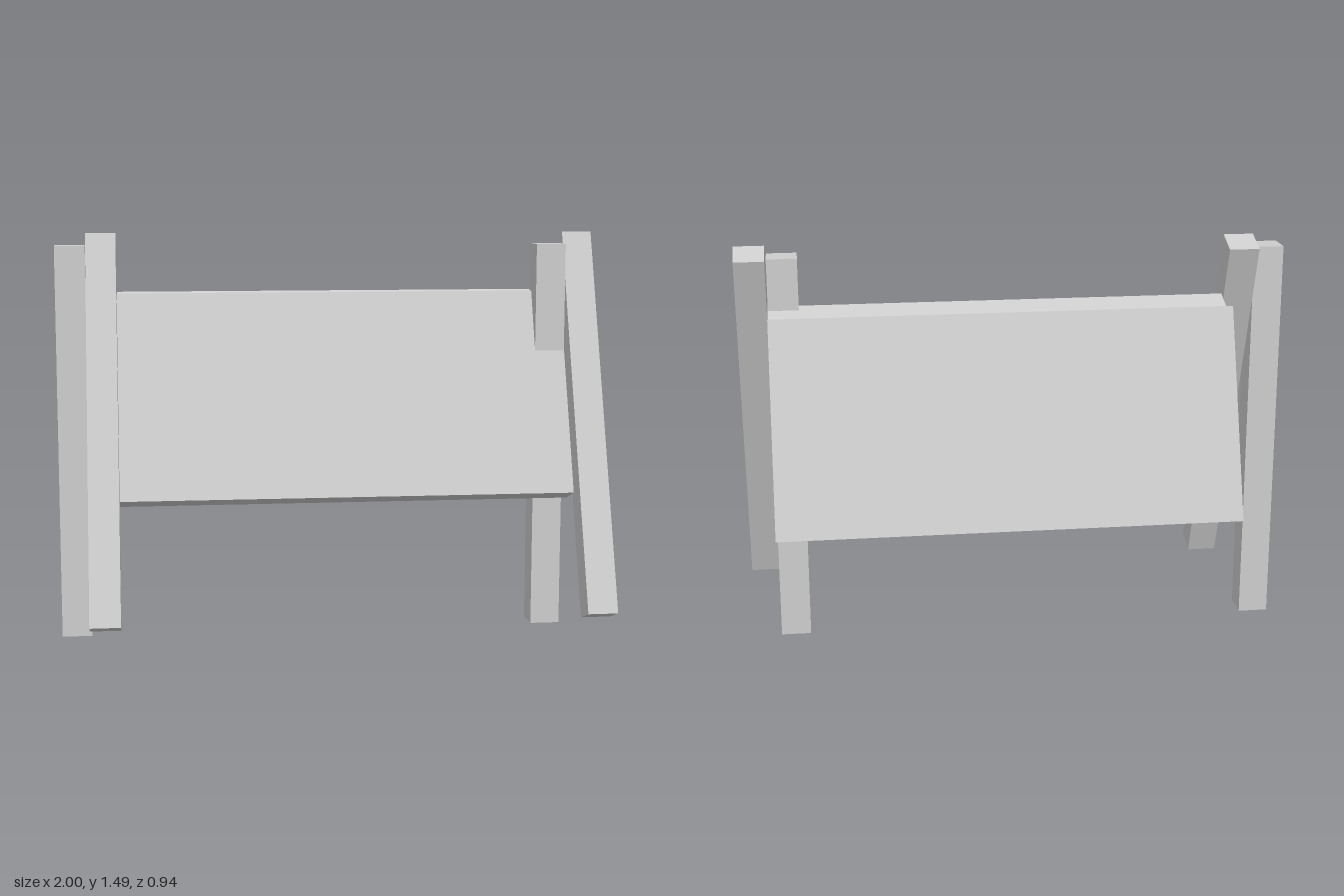
import * as THREE from 'three';

export function createModel() {
  const model = new THREE.Group();
  const grey = new THREE.MeshStandardMaterial({ color: 0xcccccc });
  grey.name = 'plain grey';
  const T = 0.108; // timber thickness
  const LEAN = THREE.MathUtils.degToRad(20);

  // A beam centred at (x, y, z), tilted about the x axis
  function beam(name, width, length, x, y, z, tilt = 0) {
    const mesh = new THREE.Mesh(new THREE.BoxGeometry(width, length, T), grey);
    mesh.name = name;
    mesh.position.set(x, y, z);
    mesh.rotation.x = tilt;
    model.add(mesh);
  }

  // Vertical posts
  beam('rightPost', 0.11, 1.447, -0.945, 0.7235, 0);
  beam('leftPost', 0.11, 1.447, 0.831, 0.7235, 0);

  // Leaning legs beside the posts
  beam('rightLeaningLeg', 0.11, 1.442, -0.835, 0.795, 0.171, -LEAN);
  beam('leftLeaningLeg', 0.11, 1.442, 0.945, 0.795, 0.171, -LEAN);

  // Two boards meeting in a ridge
  beam('frontBoard', 1.666, 0.777, 0.054, 0.886, 0.056, -LEAN);
  beam('rearBoard', 1.666, 0.777, 0.054, 0.881, -0.286, LEAN);

  return model;
}
